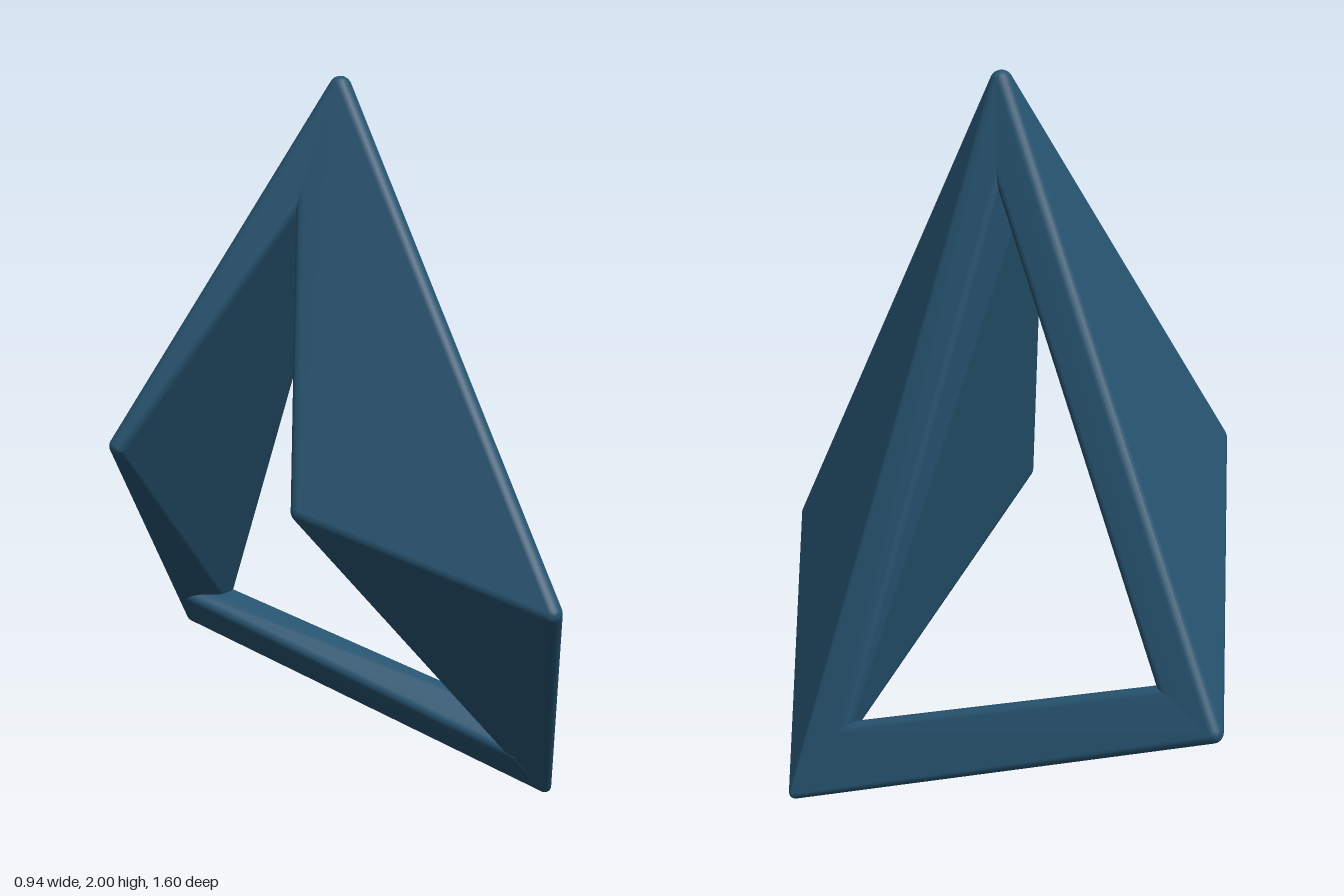
import * as THREE from 'three';
import { ConvexGeometry } from 'three/addons/geometries/ConvexGeometry.js';
import { mergeVertices } from 'three/addons/utils/BufferGeometryUtils.js';

const material = new THREE.MeshStandardMaterial({ color: 0x26536f });

// Unit directions used to round every corner
const ball = new THREE.IcosahedronGeometry(1, 3);
ball.deleteAttribute('normal');
ball.deleteAttribute('uv');
const ballPos = mergeVertices(ball).attributes.position;

const corner = (x, y, z, r) => ({ p: new THREE.Vector3(x, y, z), r });
// Corner part of the way from one corner to another
const between = (a, b, t) => ({ p: a.p.clone().lerp(b.p, t), r: 0.025 });

// Convex solid with rounded edges stretched over the given corners
function roundedHull(name, corners) {
  const points = [];
  for (const { p, r } of corners) {
    for (let i = 0; i < ballPos.count; i++) {
      points.push(new THREE.Vector3().fromBufferAttribute(ballPos, i).multiplyScalar(r).add(p));
    }
  }
  let geometry = new ConvexGeometry(points);
  geometry.deleteAttribute('normal');
  geometry = mergeVertices(geometry, 1e-5);
  geometry.computeVertexNormals();
  const mesh = new THREE.Mesh(geometry, material);
  mesh.name = name;
  return mesh;
}

export function createModel() {
  const group = new THREE.Group();
  group.name = 'foldedSculpture';

  const apex = corner(0.02, 1.969, -0.025, 0.031);
  const front = corner(-0.02, 0.67, 0.772, 0.028);
  const foot = corner(0.447, 0.019, 0.37, 0.019);
  const inner = corner(-0.252, 0.865, 0.12, 0.03);
  const back = corner(0.09, 0.38, -0.772, 0.028);
  const side = corner(-0.44, 1.0, -0.42, 0.03);

  // Corners of the triangular opening between apex, foot and back
  const centre = { p: new THREE.Vector3() };
  for (const c of [apex, foot, back]) centre.p.addScaledVector(c.p, 1 / 3);
  const openTop = between(centre, apex, 0.82);
  const openFoot = between(centre, foot, 0.75);
  const openBack = between(centre, back, 0.81);

  // Front fin and rear wedge overlap just under the apex
  group.add(roundedHull('frontFin',
    [apex, front, foot, inner, openTop, openFoot, between(apex, side, 0.15)]));
  group.add(roundedHull('rearWedge',
    [apex, back, side, openTop, openBack, between(apex, inner, 0.15)]));

  // Three-sided bar closing the opening at the bottom
  group.add(roundedHull('bottomBar',
    [foot, back, openFoot, openBack, between(foot, inner, 0.13), between(back, side, 0.13)]));
  return group;
}
